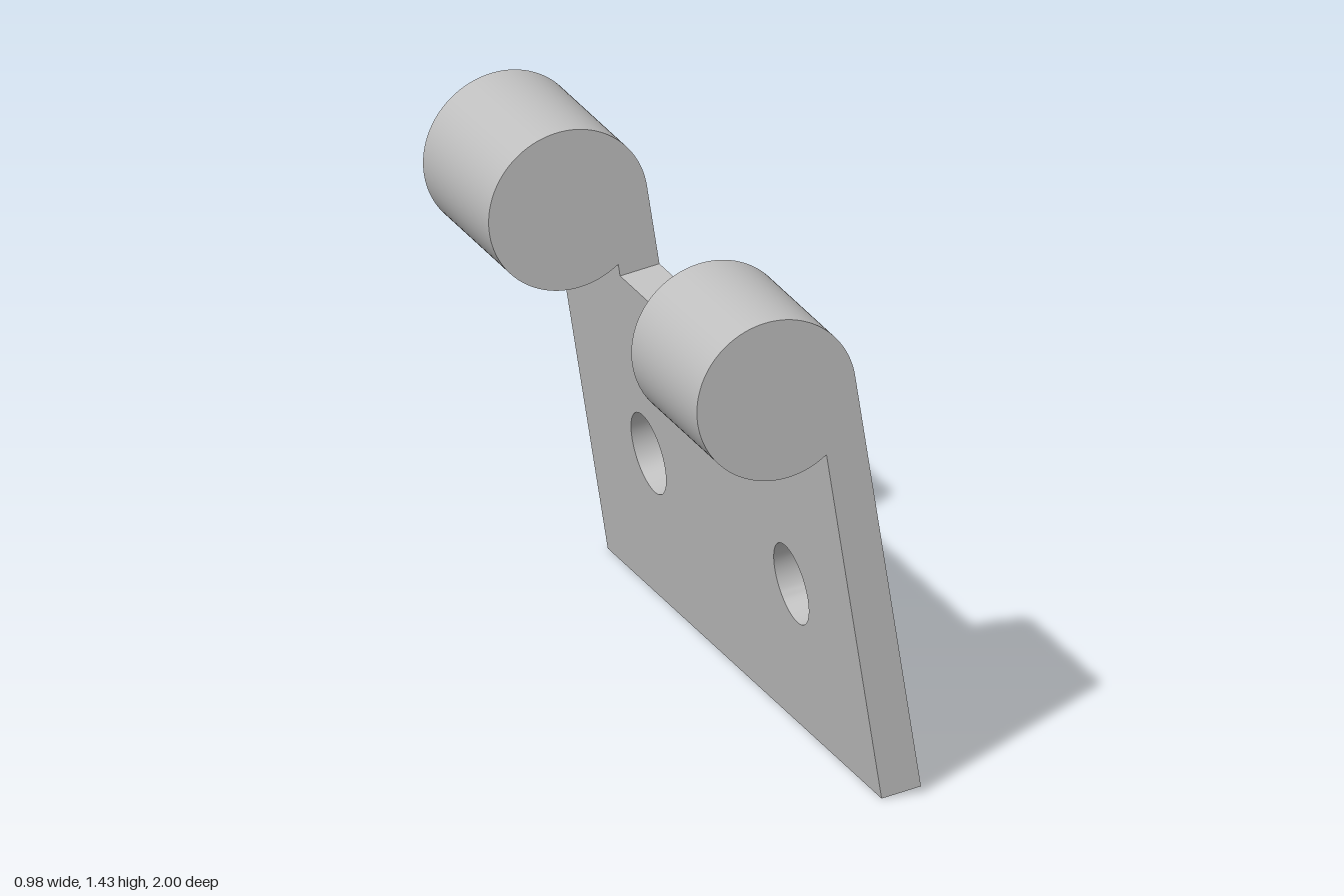
import * as THREE from 'three';
import { toCreasedNormals } from 'three/addons/utils/BufferGeometryUtils.js';

const LENGTH = 1.913;      // along the hinge axis
const T = 0.115;           // plate thickness
const R = 2 * T;           // knuckle radius
const KNUCKLE = 0.458;     // knuckle length
const PLATE_TOP = 0.994;
const AXIS_Y = 1.228;      // height of the hinge axis along the plate
const HOLE = { r: 0.115, y: 0.463, x: LENGTH / 2 - 0.458 };

export function createModel() {
  const steel = new THREE.MeshStandardMaterial({ color: 0xc0c0c0 });
  steel.name = 'grey steel';
  const hinge = new THREE.Group();
  hinge.name = 'hingeLeaf';

  const add = (name, geometry) => {
    const mesh = new THREE.Mesh(toCreasedNormals(geometry, 0.4), steel);
    mesh.name = name;
    hinge.add(mesh);
    return mesh;
  };

  // Flat plate with two screw holes
  const outline = new THREE.Shape();
  outline.moveTo(-LENGTH / 2, 0);
  outline.lineTo(LENGTH / 2, 0);
  outline.lineTo(LENGTH / 2, PLATE_TOP);
  outline.lineTo(-LENGTH / 2, PLATE_TOP);
  outline.closePath();
  for (const side of [-1, 1]) {
    const hole = new THREE.Path();
    hole.absarc(side * HOLE.x, HOLE.y, HOLE.r, 0, Math.PI * 2, true);
    outline.holes.push(hole);
  }
  const plate = new THREE.ExtrudeGeometry(outline, { depth: T, bevelEnabled: false, curveSegments: 32 });
  plate.rotateY(Math.PI / 2);
  add('plate', plate);

  // Knuckles: the outer plate face runs tangentially into a solid barrel
  const profile = new THREE.Shape();
  profile.moveTo(0, PLATE_TOP);
  profile.lineTo(T, PLATE_TOP);
  profile.lineTo(T, AXIS_Y);
  profile.absarc(-T, AXIS_Y, R, 0, Math.PI * 5 / 3, false);
  profile.closePath();
  const knuckle = new THREE.ExtrudeGeometry(profile, { depth: KNUCKLE, bevelEnabled: false, curveSegments: 56 });
  add('frontKnuckle', knuckle).position.z = LENGTH / 2 - KNUCKLE;
  add('backKnuckle', knuckle).position.z = -LENGTH / 2;

  // Lean the leaf back and turn it slightly
  hinge.rotation.set(0, THREE.MathUtils.degToRad(-10.5), THREE.MathUtils.degToRad(8.9));
  hinge.position.set(0.207, 0, 0.038);

  const model = new THREE.Group();
  model.name = 'hinge';
  model.add(hinge);
  return model;
}
